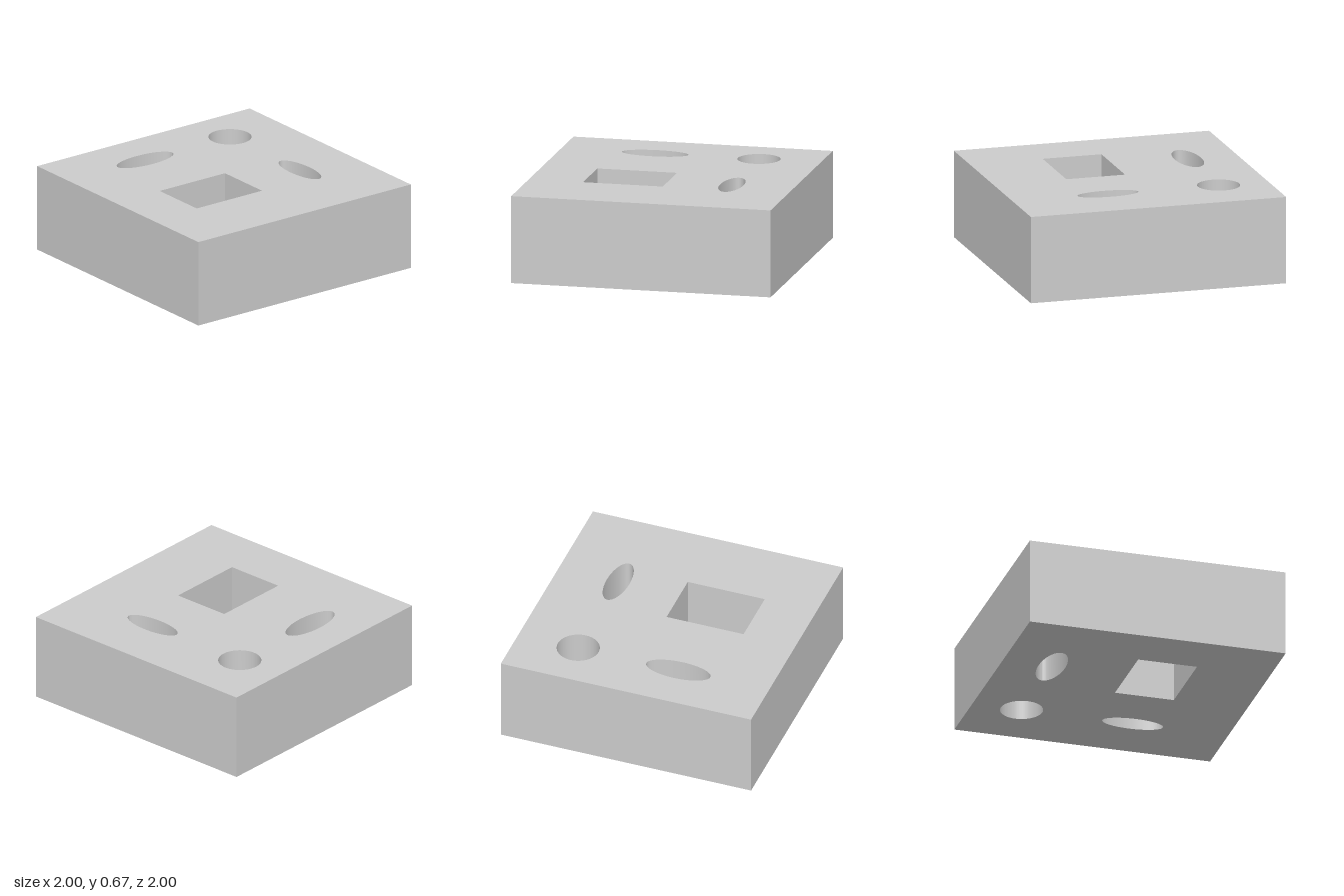
import * as THREE from 'three';
import { toCreasedNormals } from 'three/addons/utils/BufferGeometryUtils.js';

const HEIGHT = 0.67;

// Plan outlines are drawn in x and -z, then laid flat
function rectangle(PathType, x0, x1, z0, z1) {
  return new PathType([[x0, z1], [x1, z1], [x1, z0], [x0, z0]]
    .map(([x, z]) => new THREE.Vector2(x, -z)));
}

function ellipse(x, z, rx, rz) {
  return new THREE.Path().absellipse(x, -z, rx, rz, 0, Math.PI * 2, true);
}

export function createModel() {
  const group = new THREE.Group();
  group.name = 'perforatedBlock';

  // Square block with four through holes
  const outline = rectangle(THREE.Shape, -1, 1, -1, 1);
  outline.holes.push(
    ellipse(-0.615, -0.523, 0.162, 0.162), // round hole
    ellipse(0.253, -0.523, 0.237, 0.089), // wide oval hole
    ellipse(-0.615, 0.277, 0.102, 0.255), // deep oval hole
    rectangle(THREE.Path, -0.03, 0.43, -0.032, 0.583), // rectangular hole
  );

  const extruded = new THREE.ExtrudeGeometry(outline, {
    depth: HEIGHT, bevelEnabled: false, curveSegments: 64,
  });
  extruded.rotateX(-Math.PI / 2);

  // Smooth hole walls, sharp rims and corners
  const block = new THREE.Mesh(
    toCreasedNormals(extruded, Math.PI / 5),
    new THREE.MeshStandardMaterial({ color: 0xcccccc }),
  );
  block.name = 'block';
  group.add(block);
  return group;
}
